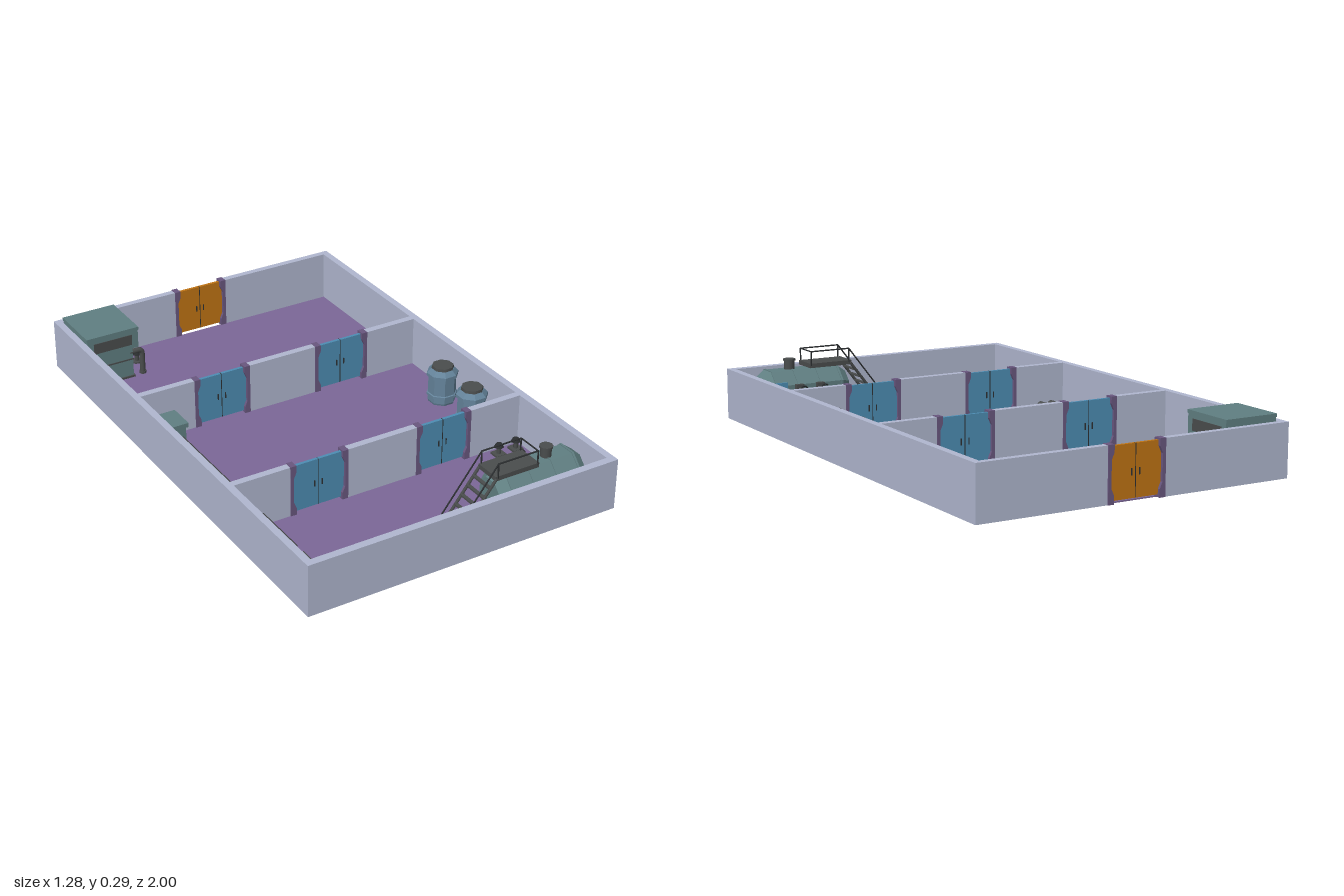
import * as THREE from 'three';

const mat = (name, color, extra = {}) => Object.assign(new THREE.MeshStandardMaterial({ color, ...extra }), { name });

export function createModel() {
  const root = new THREE.Group();
  root.name = 'industrialRooms';
  const M = {
    wall: mat('paleWall', 0xb0b7cf),
    floor: mat('purpleFloor', 0x7c6797),
    frame: mat('doorFramePurple', 0x69577f),
    blue: mat('blueDoor', 0x4d8db3),
    orange: mat('orangeDoor', 0xc07414),
    teal: mat('tealMetal', 0x607f82, { flatShading: true }),
    barrel: mat('blueGreyMetal', 0x64839a, { flatShading: true }),
    dark: mat('darkMetal', 0x4a4d4d),
    black: mat('blackTrim', 0x2c2f31),
  };
  const group = (name, parent = root) => {
    const g = new THREE.Group();
    g.name = name;
    parent.add(g);
    return g;
  };
  const add = (p, name, geo, m, x = 0, y = 0, z = 0) => {
    const mesh = new THREE.Mesh(geo, m);
    mesh.name = name;
    mesh.position.set(x, y, z);
    p.add(mesh);
    return mesh;
  };
  // box given by its minimum and maximum on each axis
  const box = (p, name, m, x0, x1, y0, y1, z0, z1) =>
    add(p, name, new THREE.BoxGeometry(x1 - x0, y1 - y0, z1 - z0), m, (x0 + x1) / 2, (y0 + y1) / 2, (z0 + z1) / 2);
  const cyl = (p, name, m, r0, r1, h, n, x, y, z) => add(p, name, new THREE.CylinderGeometry(r0, r1, h, n), m, x, y, z);
  // straight rod between two points
  const rod = (p, name, m, a, b, r = 0.003) => {
    const A = new THREE.Vector3(...a), B = new THREE.Vector3(...b);
    const mesh = cyl(p, name, m, r, r, A.distanceTo(B), 6, 0, 0, 0);
    mesh.position.copy(A).lerp(B, 0.5);
    mesh.quaternion.setFromUnitVectors(new THREE.Vector3(0, 1, 0), B.sub(A).normalize());
    return mesh;
  };
  // pipe through points, with rounded bends
  const pipe = (p, name, pts, r, bend = 0.02) => {
    const v = pts.map(q => new THREE.Vector3(...q));
    const path = new THREE.CurvePath();
    let last = v[0];
    for (let i = 1; i < v.length - 1; i++) {
      const a = v[i].clone().add(v[i - 1].clone().sub(v[i]).setLength(bend));
      const b = v[i].clone().add(v[i + 1].clone().sub(v[i]).setLength(bend));
      path.add(new THREE.LineCurve3(last, a));
      path.add(new THREE.QuadraticBezierCurve3(a, v[i], b));
      last = b;
    }
    path.add(new THREE.LineCurve3(last, v[v.length - 1]));
    add(p, name, new THREE.TubeGeometry(path, 60, r, 10), M.dark);
    return path;
  };

  // floor and outer walls
  const B = 0.01, T = 0.215;
  box(root, 'floor', M.floor, -0.625, 0.625, 0.007, 0.012, -0.976, 0.985);
  const walls = group('walls');
  for (const s of [-1, 1]) box(walls, 'sideWall', M.wall, s > 0 ? 0.612 : -0.64, s > 0 ? 0.64 : -0.612, B, T, -1, 1);
  box(walls, 'frontWall', M.wall, -0.612, 0.612, B, T, 0.97, 1);

  // double door with pinched posts on both sides
  const door = (x, z, w, m) => {
    const g = group('door');
    g.position.set(x, 0, z);
    const h = w / 2, post = new THREE.Shape();
    [[0, B], [0.024, B], [0.024, 0.04], [0.013, 0.065], [0.013, 0.165], [0.024, 0.19], [0.024, T + 0.002], [0, T + 0.002]]
      .forEach(([a, b], i) => (i ? post.lineTo(a, b) : post.moveTo(a, b)));
    const geo = new THREE.ExtrudeGeometry(post, { depth: 0.034, bevelEnabled: false }).translate(0, 0, -0.017);
    for (const s of [-1, 1]) {
      const pm = add(g, 'doorPost', geo, M.frame, s * h, 0, 0);
      if (s > 0) pm.rotation.y = Math.PI;
      const x0 = s < 0 ? -h + 0.012 : 0.001, x1 = s < 0 ? -0.001 : h - 0.012;
      box(g, 'doorLeaf', m, x0, x1, 0.02, 0.21, -0.006, 0.006);
      for (const f of [-1, 1]) box(g, 'doorHandle', M.black, s * 0.016 - 0.002, s * 0.016 + 0.002, 0.1, 0.125, f * 0.0075 - 0.0015, f * 0.0075 + 0.0015);
    }
    box(g, 'doorSeam', M.black, -0.0015, 0.0015, 0.02, 0.21, -0.0065, 0.0065);
  };
  // wall along x, broken by doors
  const wallWithDoors = (name, z, t, centres, w, m) => {
    let x = -0.612;
    for (const c of centres) {
      box(walls, name, M.wall, x, c - w / 2 + 0.004, B, T, z - t / 2, z + t / 2);
      door(c, z, w, m);
      x = c + w / 2 - 0.004;
    }
    box(walls, name, M.wall, x, 0.612, B, T, z - t / 2, z + t / 2);
  };
  wallWithDoors('backWall', -0.987, 0.026, [0.011], 0.235, M.orange);
  wallWithDoors('innerWall', -0.287, 0.028, [-0.265, 0.27], 0.24, M.blue);
  wallWithDoors('innerWall', 0.436, 0.028, [-0.265, 0.27], 0.24, M.blue);

  // tall cabinet with an overhanging head and side pipes
  const cab = group('cabinet');
  box(cab, 'cabinetBody', M.teal, -0.595, -0.41, 0.002, 0.15, -0.945, -0.76);
  box(cab, 'cabinetFoot', M.dark, -0.598, -0.405, 0.001, 0.02, -0.95, -0.755);
  box(cab, 'cabinetHead', M.teal, -0.612, -0.392, 0.15, 0.228, -0.962, -0.742);
  box(cab, 'cabinetLid', M.teal, -0.615, -0.39, 0.228, 0.241, -0.965, -0.739);
  box(cab, 'frontGrille', M.dark, -0.585, -0.42, 0.168, 0.212, -0.742, -0.7395);
  box(cab, 'sideGrille', M.dark, -0.392, -0.3895, 0.168, 0.212, -0.935, -0.77);
  box(cab, 'cabinetBand', M.dark, -0.597, -0.408, 0.09, 0.096, -0.947, -0.758);
  pipe(cab, 'frontPipe', [[-0.585, 0.12, -0.77], [-0.585, 0.12, -0.705], [-0.585, 0.002, -0.705]], 0.013);
  pipe(cab, 'sidePipe', [[-0.42, 0.12, -0.77], [-0.365, 0.12, -0.77], [-0.365, 0.002, -0.77]], 0.011);
  cyl(cab, 'pipeFlange', M.dark, 0.016, 0.016, 0.01, 10, -0.585, 0.017, -0.705);
  cyl(cab, 'pipeFlange', M.dark, 0.014, 0.014, 0.01, 10, -0.365, 0.017, -0.77);

  // small floor valves
  const valve = (x, z, square) => {
    const g = group('floorValve');
    g.position.set(x, 0, z);
    if (square) box(g, 'valveBase', M.dark, -0.022, 0.022, 0.005, 0.02, -0.022, 0.022);
    else cyl(g, 'valveBase', M.dark, 0.022, 0.022, 0.015, 8, 0, 0.011, 0);
    cyl(g, 'valveStem', M.dark, 0.009, 0.009, 0.03, 8, 0, 0.034, 0);
    cyl(g, 'valveCap', M.black, 0.012, 0.019, 0.014, 8, 0, 0.054, 0);
  };
  valve(-0.345, -0.945);
  valve(-0.345, -0.865);
  valve(0.497, 0.49, true);
  valve(0.575, 0.49, true);

  // octagonal barrels
  const profile = [[0, 0.003], [0.05, 0.003], [0.056, 0.02], [0.056, 0.04], [0.061, 0.042], [0.061, 0.052], [0.056, 0.054],
    [0.056, 0.125], [0.063, 0.127], [0.063, 0.14], [0.046, 0.158], [0, 0.158]].map(q => new THREE.Vector2(...q));
  for (const z of [0.035, 0.235]) {
    const g = group('barrel');
    g.position.set(0.547, 0, z);
    add(g, 'barrelBody', new THREE.LatheGeometry(profile, 8), M.barrel).rotation.y = Math.PI / 8;
    cyl(g, 'barrelLid', M.dark, 0.043, 0.045, 0.012, 8, 0, 0.163, 0).rotation.y = Math.PI / 8;
    cyl(g, 'barrelFoot', M.dark, 0.053, 0.053, 0.014, 8, 0, 0.009, 0).rotation.y = Math.PI / 8;
  }

  // twin pipe run with junction box and clamp
  const run = group('pipeRun');
  box(run, 'junctionBox', M.teal, -0.578, -0.482, 0.002, 0.1, -0.266, -0.164);
  box(run, 'junctionLid', M.teal, -0.585, -0.474, 0.1, 0.118, -0.271, -0.157);
  pipe(run, 'outerPipe', [[-0.553, 0.048, -0.2], [-0.553, 0.048, 0.655], [-0.592, 0.048, 0.655], [-0.592, 0.048, 0.968]], 0.016, 0.019);
  pipe(run, 'innerPipe', [[-0.503, 0.048, -0.2], [-0.503, 0.048, 0.69], [-0.541, 0.048, 0.69], [-0.541, 0.048, 0.968]], 0.016, 0.019);
  box(run, 'pipeClamp', M.dark, -0.612, -0.515, 0.004, 0.09, 0.762, 0.862);
  box(run, 'clampPanel', M.black, -0.597, -0.53, 0.09, 0.094, 0.8, 0.845);

  // horizontal tank on a plinth
  const tank = group('tank');
  box(tank, 'plinth', M.dark, 0.168, 0.588, 0.003, 0.022, 0.73, 0.967);
  box(tank, 'plinthStep', M.dark, 0.19, 0.567, 0.022, 0.04, 0.752, 0.945);
  for (const x of [0.25, 0.38, 0.51]) box(tank, 'saddle', M.dark, x - 0.015, x + 0.015, 0.04, 0.085, 0.765, 0.935);
  const tankProfile = [[0, -0.187], [0.065, -0.187], [0.092, -0.15], [0.092, 0.15], [0.065, 0.187], [0, 0.187]].map(q => new THREE.Vector2(...q));
  const body = add(tank, 'tankBody', new THREE.LatheGeometry(tankProfile, 8, Math.PI / 8).rotateZ(-Math.PI / 2), M.teal, 0.38, 0.131, 0.85);
  body.scale.set(1, 1.03, 1);
  for (const x of [0.235, 0.33, 0.43, 0.525]) {
    const r = add(tank, 'tankRib', new THREE.CylinderGeometry(0.095, 0.095, 0.008, 8, 1, false, Math.PI / 8).rotateZ(-Math.PI / 2), M.teal, x, 0.131, 0.85);
    r.scale.set(1, 1.03, 1);
  }
  cyl(tank, 'hatchNeck', M.dark, 0.021, 0.021, 0.05, 12, 0.432, 0.232, 0.85);
  cyl(tank, 'hatchLid', M.dark, 0.025, 0.025, 0.008, 12, 0.432, 0.257, 0.85);
  box(tank, 'controlPanel', M.blue, 0.485, 0.535, 0.145, 0.182, 0.752, 0.761);
  for (const x of [0.338, 0.43]) {
    box(tank, 'valveBlock', M.dark, x - 0.017, x + 0.017, 0.138, 0.17, 0.748, 0.775);
    rod(tank, 'valveSpindle', M.dark, [x, 0.154, 0.76], [x, 0.154, 0.69], 0.004);
    add(tank, 'valveWheel', new THREE.TorusGeometry(0.015, 0.003, 6, 12), M.black, x, 0.154, 0.715);
  }

  // platform and stairs
  const stairs = group('stairs');
  box(stairs, 'platform', M.dark, 0.175, 0.362, 0.222, 0.24, 0.8, 0.905);
  box(stairs, 'footPlate', M.dark, -0.028, 0.045, 0.004, 0.016, 0.785, 0.908);
  for (const z of [0.802, 0.903]) {
    rod(stairs, 'stringer', M.dark, [0.01, 0.01, z], [0.18, 0.23, z], 0.006);
    rod(stairs, 'handrail', M.black, [0.025, 0.08, z], [0.186, 0.289, z]);
    rod(stairs, 'topRail', M.black, [0.186, 0.289, z], [0.356, 0.289, z]);
    rod(stairs, 'lowerPost', M.black, [0.025, 0.03, z], [0.025, 0.08, z]);
    for (const x of [0.186, 0.356]) rod(stairs, 'railPost', M.black, [x, 0.23, z], [x, 0.289, z]);
  }
  rod(stairs, 'endRail', M.black, [0.356, 0.289, 0.802], [0.356, 0.289, 0.903]);
  for (let i = 1; i < 7; i++) {
    const x = 0.01 + 0.17 * i / 7, y = 0.01 + 0.22 * i / 7;
    box(stairs, 'tread', M.dark, x - 0.007, x + 0.007, y - 0.003, y + 0.003, 0.802, 0.903);
  }
  return root;
}
